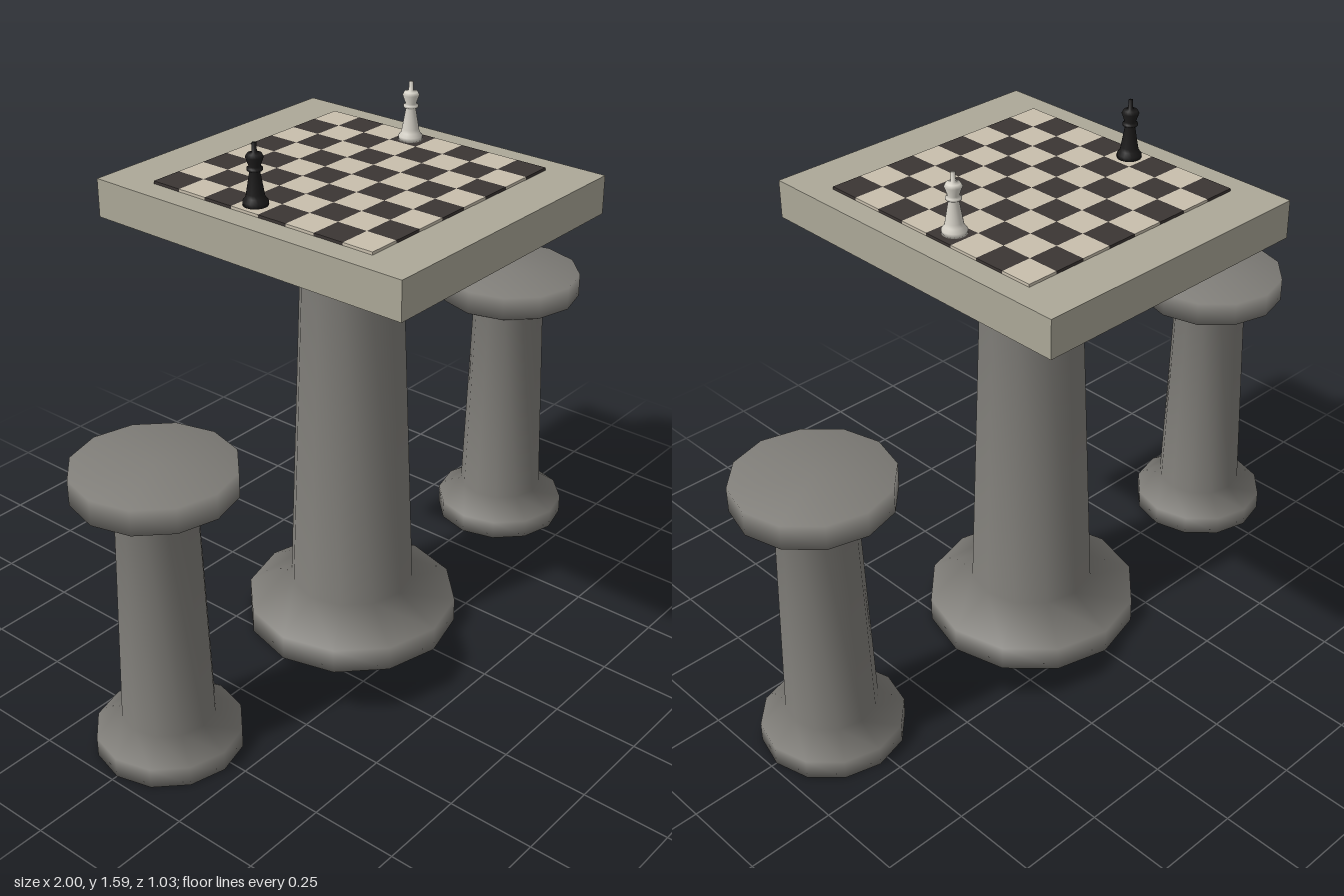
import * as THREE from 'three';
import { mergeGeometries } from 'three/addons/utils/BufferGeometryUtils.js';

const material = (color) => new THREE.MeshStandardMaterial({ color });

function addMesh(parent, name, geometry, mat, x = 0, y = 0, z = 0) {
  const mesh = new THREE.Mesh(geometry, mat);
  mesh.name = name;
  mesh.position.set(x, y, z);
  parent.add(mesh);
  return mesh;
}

// Turned shape from [radius, height] pairs, listed bottom to top
const turned = (profile, sides) =>
  new THREE.LatheGeometry(profile.map(([r, y]) => new THREE.Vector2(r, y)), sides);

export function createModel() {
  const model = new THREE.Group();
  model.name = 'chessTableWithStools';
  const stone = material(0x807e79);
  const slabStone = material(0xaca898);
  const dark = material(0x3b3533);
  const light = material(0xc8bfad);

  // Table pedestal and slab
  addMesh(model, 'tablePedestal', turned([
    [0, 0], [0.315, 0], [0.315, 0.075], [0.185, 0.145],
    [0.147, 1.11], [0.22, 1.265], [0.22, 1.3], [0, 1.3],
  ], 12), stone);
  addMesh(model, 'tableTop', new THREE.BoxGeometry(0.884, 0.11, 1.034), slabStone, 0, 1.355, 0);

  // Two matching stools
  const stool = turned([
    [0, 0], [0.203, 0], [0.203, 0.058], [0.13, 0.11],
    [0.11, 0.745], [0.22, 0.8], [0.22, 0.872], [0, 0.872],
  ], 12);
  addMesh(model, 'leftStool', stool, stone, 0.78);
  addMesh(model, 'rightStool', stool, stone, -0.78);

  // Chequered board: thin tiles merged by colour
  const count = 8, cell = 0.744 / count, thickness = 0.008;
  const tiles = [[], []];
  for (let row = 0; row < count; row++) {
    for (let col = 0; col < count; col++) {
      const tile = new THREE.BoxGeometry(cell, thickness, cell);
      tile.translate((col - 3.5) * cell, 0, (row - 3.5) * cell);
      tiles[(row + col) % 2].push(tile);
    }
  }
  const board = new THREE.Group();
  board.name = 'chessBoard';
  board.position.y = 1.41 + thickness / 2;
  addMesh(board, 'darkSquares', mergeGeometries(tiles[0]), dark);
  addMesh(board, 'lightSquares', mergeGeometries(tiles[1]), light);
  model.add(board);

  // Kings facing each other across the board
  const king = turned([
    [0, 0], [0.034, 0], [0.034, 0.012], [0.026, 0.022], [0.024, 0.032],
    [0.014, 0.09], [0.021, 0.095], [0.021, 0.101], [0.015, 0.105],
    [0.024, 0.13], [0.019, 0.139], [0.007, 0.142], [0.006, 0.168], [0, 0.168],
  ], 20);
  addMesh(model, 'darkKing', king, material(0x1c1b1b), -0.325, 1.418, -0.05);
  addMesh(model, 'lightKing', king, material(0xd6d2c8), 0.32, 1.418, -0.05);

  return model;
}
